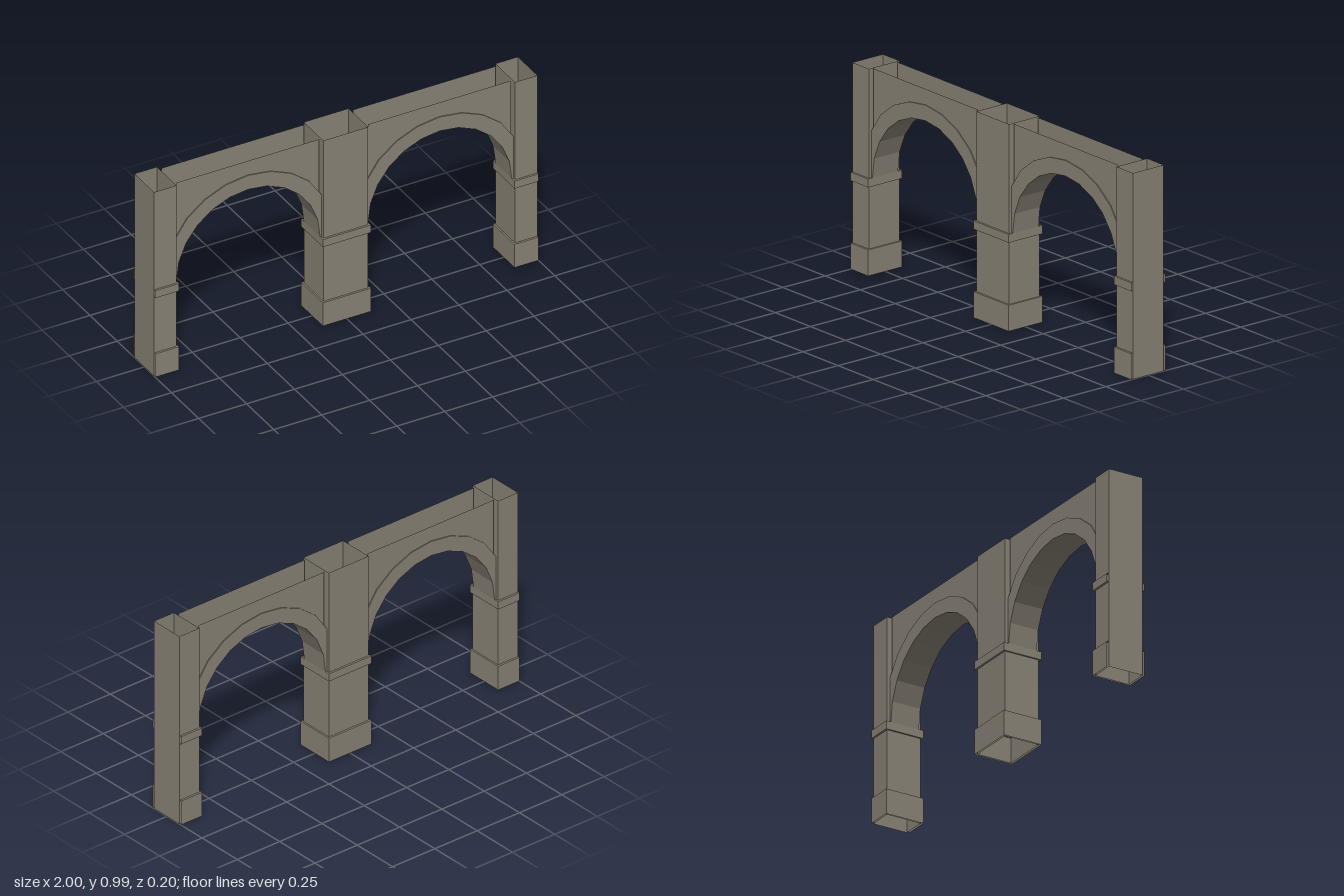
import * as THREE from 'three';

const TOP = 0.99, SPRING = 0.465;      // wall top, arch springing height
const R_IN = 0.375, R_OUT = 0.45;      // arch ring radii
const WALL_Z = 0.07, RING_Z = 0.075;   // half depths of wall and arch ring
const SEGS = 12;                       // facets per half circle

const stone = new THREE.MeshStandardMaterial({ color: 0x888275, side: THREE.DoubleSide, flatShading: true });
stone.name = 'stone';

function add(parent, name, geometry) {
  const mesh = new THREE.Mesh(geometry, stone);
  mesh.name = name;
  parent.add(mesh);
  return mesh;
}

// Box with some sides left open; sides are numbered +x, -x, +y, -y, +z, -z
function openBox(x0, x1, y0, y1, halfZ, open) {
  const g = new THREE.BoxGeometry(x1 - x0, y1 - y0, halfZ * 2);
  const index = Array.from(g.index.array).filter((_, i) => !open.includes(Math.floor(i / 6)));
  g.setIndex(index);
  g.clearGroups();
  return g.translate((x0 + x1) / 2, (y0 + y1) / 2, 0);
}

// Points along an arc about the arch centre, limited sideways to maxX
function arc(radius, from, to, maxX) {
  const points = [];
  for (let i = from; i <= to; i++) {
    const a = (i / SEGS) * Math.PI;
    const x = THREE.MathUtils.clamp(radius * Math.cos(a), -maxX, maxX);
    points.push(new THREE.Vector2(x, radius * Math.sin(a)));
  }
  return points;
}

// Hollow pier with plinth and impost band; side is 0 in the middle, +-1 at the ends
function createPier(side) {
  const pier = new THREE.Group();
  pier.name = side === 0 ? 'middlePier' : side > 0 ? 'leftPier' : 'rightPier';
  const span = (half) => (side === 0 ? [-half, half] : side > 0 ? [1 - half, 1] : [-1, half - 1]);
  const outer = side === 0 ? [] : [side > 0 ? 0 : 1];
  add(pier, 'shaft', openBox(...span(0.117), 0, TOP, 0.09, [2, 3]));
  add(pier, 'plinth', openBox(...span(0.125), 0, 0.125, 0.1, [3, ...outer]));
  add(pier, 'impostBand', openBox(...span(0.125), 0.425, SPRING, 0.1, outer));
  return pier;
}

function createArch(x) {
  const arch = new THREE.Group();
  arch.name = x > 0 ? 'leftArch' : 'rightArch';
  arch.position.set(x, SPRING, 0);

  // Curved underside
  const soffit = new THREE.CylinderGeometry(R_IN, R_IN, RING_Z * 2, SEGS, 1, true, Math.PI / 2, Math.PI);
  add(arch, 'soffit', soffit.rotateX(Math.PI / 2));

  // Raised ring around the opening, cut off at the piers
  const ringShape = new THREE.Shape([
    ...arc(R_OUT, 0, SEGS, 0.383),
    ...arc(R_IN, 0, SEGS, 1).reverse(),
  ]);
  // Wall above the ring, stopping just short of the piers
  const h = TOP - SPRING, w = 0.372;
  const wallShape = new THREE.Shape([
    new THREE.Vector2(-w, h),
    ...arc(R_OUT, 2, SEGS - 2, w).reverse(),
    new THREE.Vector2(w, h),
  ]);
  for (const s of [1, -1]) {
    const ring = new THREE.ExtrudeGeometry(ringShape, { depth: RING_Z - WALL_Z, bevelEnabled: false });
    const face = s > 0 ? 'front' : 'back';
    add(arch, face + 'Ring', ring).position.z = s > 0 ? WALL_Z : -RING_Z;
    const wall = new THREE.ShapeGeometry(wallShape);
    if (s < 0) wall.rotateY(Math.PI);
    add(arch, face + 'Spandrel', wall).position.z = s * WALL_Z;
  }
  return arch;
}

export function createModel() {
  const model = new THREE.Group();
  model.name = 'arcade';
  for (const side of [-1, 0, 1]) model.add(createPier(side));
  for (const x of [-0.5, 0.5]) model.add(createArch(x));
  return model;
}
